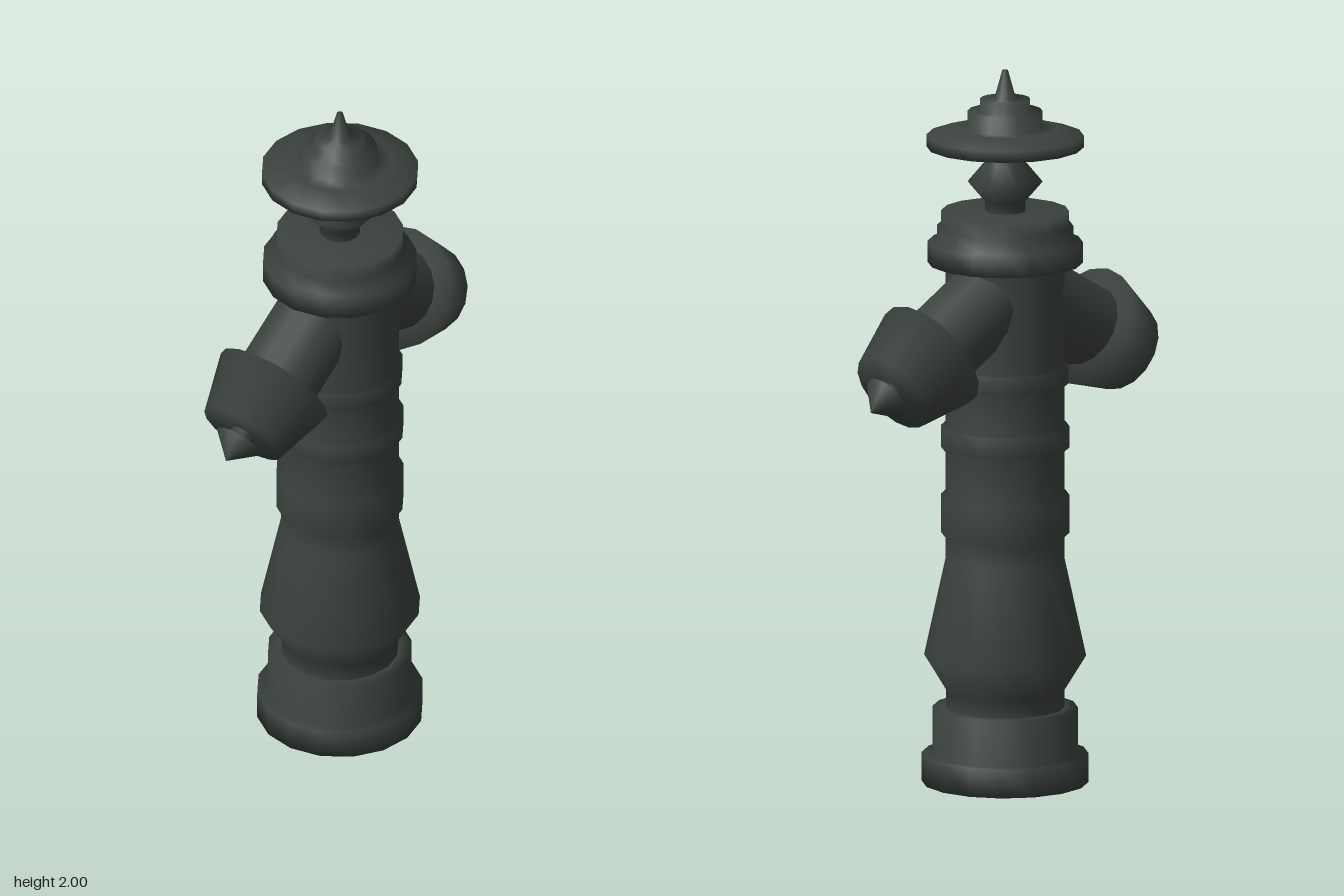
import * as THREE from 'three';

const SIDES = 16;
const iron = new THREE.MeshStandardMaterial({ color: 0x3b423e });

// Turned part from [radius, height] pairs, listed from bottom to top
function turned(name, profile) {
  const points = profile.map(([r, y]) => new THREE.Vector2(r, y));
  const mesh = new THREE.Mesh(new THREE.LatheGeometry(points, SIDES), iron);
  mesh.name = name;
  return mesh;
}

// Sloping outlet with a flared cap and a pointed nut, pointing 30 degrees down
function makeOutlet(name) {
  const outlet = new THREE.Group();
  outlet.name = name;
  const axis = new THREE.Group();
  axis.position.set(0.288, 1.243, 0);
  axis.rotation.z = -THREE.MathUtils.degToRad(120);
  axis.add(
    turned('outletPipe', [[0.117, -0.3], [0.117, 0.02]]),
    turned('outletCap', [[0, 0], [0.171, 0], [0.124, 0.168], [0, 0.168]]),
    turned('outletNut', [[0.035, 0.16], [0.035, 0.194], [0.068, 0.194], [0, 0.26]])
  );
  outlet.add(axis);
  return outlet;
}

export function createModel() {
  const hydrant = new THREE.Group();
  hydrant.name = 'hydrant';

  // Upright barrel, all on one vertical axis
  const barrel = new THREE.Group();
  barrel.name = 'barrel';
  barrel.position.x = -0.008;
  barrel.add(
    turned('base', [[0, 0], [0.23, 0], [0.23, 0.08], [0.2, 0.08], [0.2, 0.21], [0.163, 0.21]]),
    turned('column', [
      [0.163, 0.21], [0.163, 0.257], [0.223, 0.355], [0.164, 0.627], [0.164, 0.7],
      [0.177, 0.7], [0.177, 0.807], [0.164, 0.807], [0.164, 0.94],
      [0.177, 0.94], [0.177, 1.0], [0.164, 1.0], [0.164, 1.12],
      [0.174, 1.12], [0.174, 1.172], [0.164, 1.172], [0.164, 1.46],
    ]),
    turned('topFlange', [
      [0.164, 1.46], [0.214, 1.46], [0.214, 1.518], [0.188, 1.518], [0.188, 1.563],
      [0.176, 1.563], [0.176, 1.605], [0, 1.605],
    ]),
    turned('stem', [[0.056, 1.6], [0.056, 1.632], [0.103, 1.687], [0.056, 1.743], [0.056, 1.79]]),
    turned('hood', [
      [0, 1.785], [0.217, 1.785], [0.217, 1.817], [0.143, 1.838], [0.103, 1.838],
      [0.103, 1.886], [0.069, 1.886], [0.069, 1.92], [0.03, 1.92], [0.008, 2], [0, 2],
    ])
  );
  hydrant.add(barrel);

  // Outlets on both sides
  const outlets = new THREE.Group();
  outlets.name = 'outlets';
  outlets.position.set(-0.004, 0, -0.016);
  const left = makeOutlet('leftOutlet');
  const right = makeOutlet('rightOutlet');
  right.rotation.y = Math.PI;
  outlets.add(left, right);
  hydrant.add(outlets);

  return hydrant;
}
